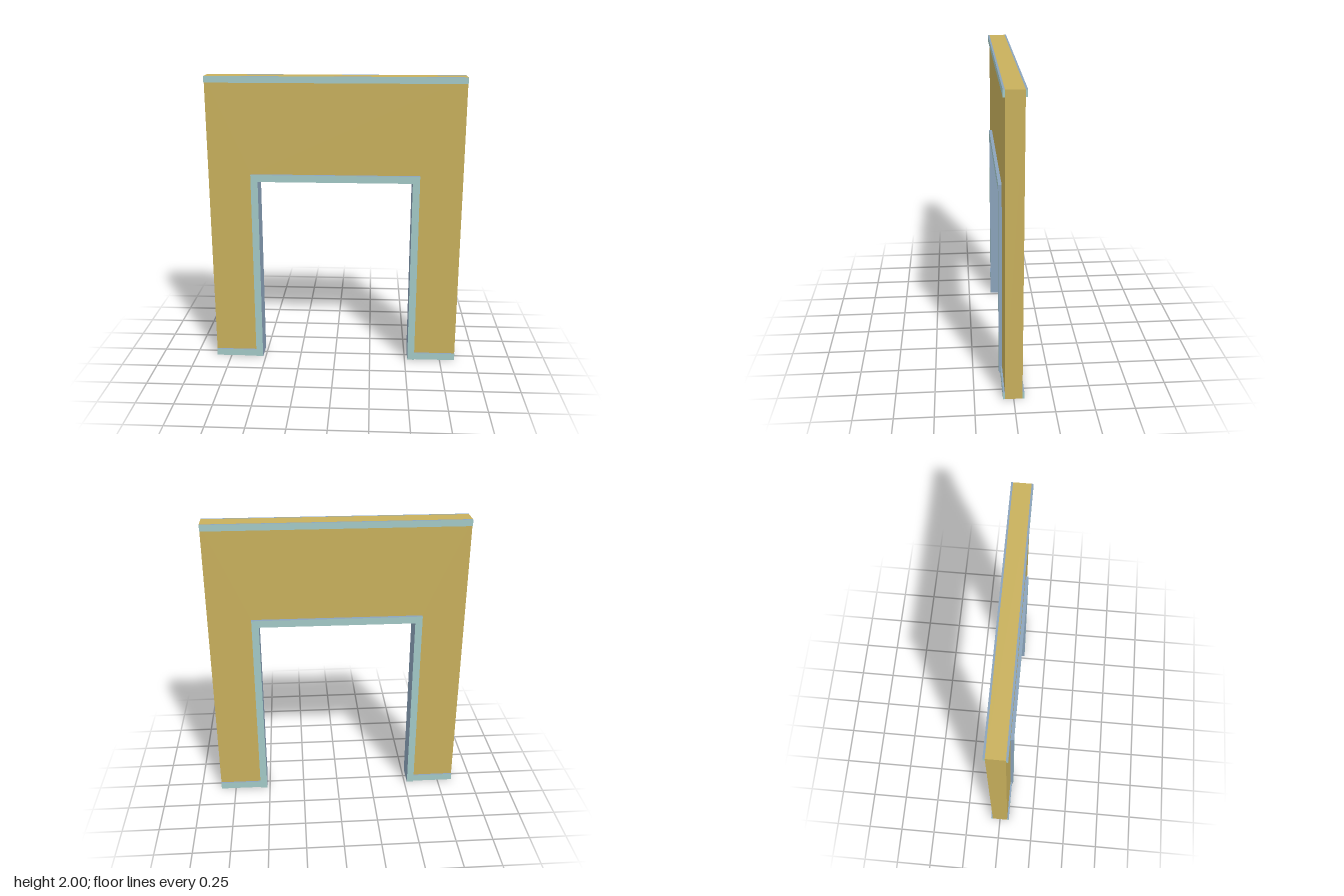
import * as THREE from 'three';

const mat = (name, hex) => {
  const m = new THREE.MeshStandardMaterial({ color: hex });
  m.name = name;
  return m;
};

export function createModel() {
  const group = new THREE.Group();
  const plaster = mat('ochrePlaster', 0xc8b05c);
  const trim = mat('paleTealTrim', 0xa3c9c7);
  const edge = mat('blueGreyEdge', 0x8ba3bb);

  // Overall outline, doorway and depths
  const W = 0.855, H = 2, doorW = 0.52, doorH = 1.3, band = 0.048;
  const outW = doorW + band, outH = doorH + band;
  const wallZ = 0.056, trimZ = 0.068, frameZ = 0.077;

  // Box given by its limits; materials in order +x -x +y -y +z -z
  const box = (name, x0, x1, y0, y1, z0, z1, material) => {
    const mesh = new THREE.Mesh(new THREE.BoxGeometry(x1 - x0, y1 - y0, z1 - z0), material);
    mesh.position.set((x0 + x1) / 2, (y0 + y1) / 2, (z0 + z1) / 2);
    mesh.name = name;
    group.add(mesh);
  };

  // Wall with a doorway open to the floor
  const outline = new THREE.Shape([
    [-W, 0], [-outW, 0], [-outW, outH], [outW, outH],
    [outW, 0], [W, 0], [W, H], [-W, H],
  ].map(([x, y]) => new THREE.Vector2(x, y)));
  const wallGeo = new THREE.ExtrudeGeometry(outline, { depth: wallZ * 2, bevelEnabled: false });
  wallGeo.translate(0, 0, -wallZ);
  const wall = new THREE.Mesh(wallGeo, plaster);
  wall.name = 'wall';
  group.add(wall);

  // Door frame: two jambs and a lintel
  const jambMats = [edge, edge, edge, edge, trim, trim];
  box('leftJamb', doorW, outW, 0, outH, -frameZ, frameZ, jambMats);
  box('rightJamb', -outW, -doorW, 0, outH, -frameZ, frameZ, jambMats);
  box('lintel', -doorW, doorW, doorH, outH, -frameZ, frameZ, [edge, edge, edge, trim, trim, trim]);

  // Cornice and skirting strips on both faces of the wall
  const stripMats = [trim, trim, edge, trim, trim, trim];
  for (const side of ['front', 'back']) {
    const [z0, z1] = side === 'front' ? [wallZ, trimZ] : [-trimZ, -wallZ];
    box(side + 'Cornice', -W, W, H - 0.042, H, z0, z1, stripMats);
    box(side + 'LeftSkirting', outW, W, 0, band, z0, z1, stripMats);
    box(side + 'RightSkirting', -W, -outW, 0, band, z0, z1, stripMats);
  }
  return group;
}
